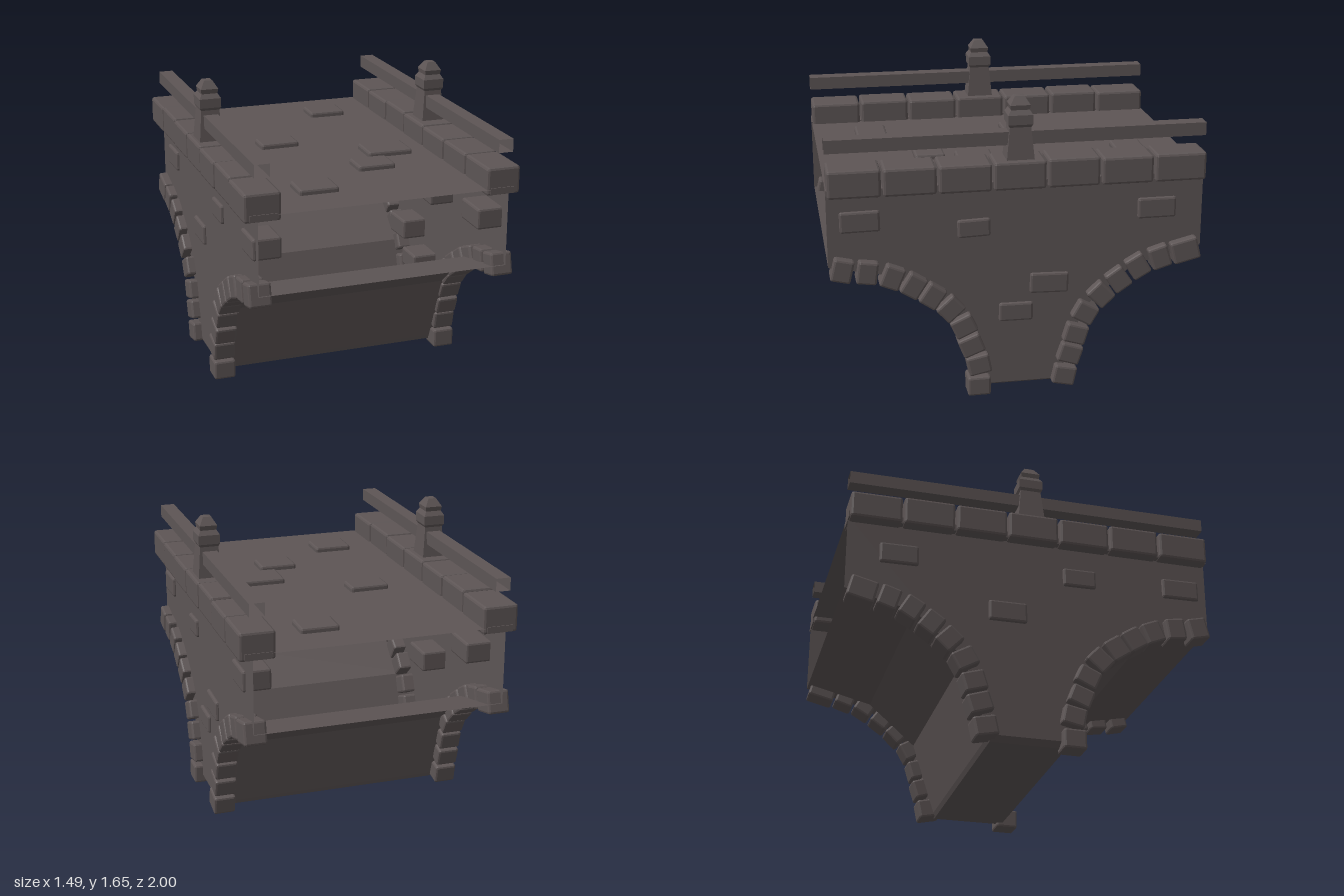
import * as THREE from 'three';
import { RoundedBoxGeometry } from 'three/addons/geometries/RoundedBoxGeometry.js';
import { toCreasedNormals } from 'three/addons/utils/BufferGeometryUtils.js';

const WALL_X = 0.675, DECK_Y = 1.225;
// arch outlines as [z, y], from the foot of the pier up to the end of the span
const ARCH_FRONT = [[0.2, 0.07], [0.36, 0.475], [0.65, 0.73], [1, 0.8]];
const ARCH_BACK = [[-0.23, 0.07], [-0.36, 0.475], [-0.63, 0.71], [-1, 0.8]];

export function createModel() {
  const model = new THREE.Group();
  model.name = 'stoneBridge';
  const stone = new THREE.MeshStandardMaterial({ color: 0x5d5555, side: THREE.DoubleSide });
  stone.name = 'greyStone';

  let seed = 7;
  const wobble = (amount) => {
    seed = (seed * 16807) % 2147483647;
    return (seed / 2147483647 - 0.5) * 2 * amount;
  };

  const add = (name, geometry, x = 0, y = 0, z = 0) => {
    const mesh = new THREE.Mesh(geometry, stone);
    mesh.name = name;
    mesh.position.set(x, y, z);
    model.add(mesh);
    return mesh;
  };

  // chamfered block with flat faces
  const block = (w, h, d, bevel = 0.012) =>
    toCreasedNormals(new RoundedBoxGeometry(w, h, d, 1, bevel), 0.1);

  // sheet running across the bridge along a [z, y] path
  const sheet = (path) => {
    const pos = [];
    for (let i = 0; i < path.length - 1; i++) {
      const [z0, y0] = path[i], [z1, y1] = path[i + 1], x = WALL_X;
      pos.push(-x, y0, z0, x, y0, z0, x, y1, z1, -x, y0, z0, x, y1, z1, -x, y1, z1);
    }
    const g = new THREE.BufferGeometry();
    g.setAttribute('position', new THREE.Float32BufferAttribute(pos, 3));
    g.computeVertexNormals();
    return g;
  };

  // deck and the undersides of the two half arches
  add('deck', sheet([[1, DECK_Y], [-1, DECK_Y]]));
  add('frontVault', sheet(ARCH_FRONT));
  add('backVault', sheet([...ARCH_BACK].reverse()));

  // pier foot with sloping edges
  const foot = new THREE.CylinderGeometry(Math.SQRT1_2, Math.SQRT1_2 * 0.94, 0.025, 4);
  foot.rotateY(Math.PI / 4).scale(WALL_X * 2, 1, 0.43);
  add('pierFoot', toCreasedNormals(foot, 0.1), 0, 0.0575, -0.015);

  // side walls cut out by the arches
  const outline = [[1, DECK_Y], ...[...ARCH_FRONT].reverse(), ...ARCH_BACK, [-1, DECK_Y]];
  const wallShape = new THREE.Shape(outline.map(([z, y]) => new THREE.Vector2(z, y)));
  for (const side of [-1, 1]) {
    const wall = new THREE.ShapeGeometry(wallShape);
    wall.rotateY(-Math.PI / 2);
    add('sideWall', wall, side * WALL_X);
  }

  // arch stones: z, y of each centre, from the span end down to the foot
  const frontRing = [[0.93, 0.79], [0.8, 0.77], [0.67, 0.735], [0.56, 0.68], [0.46, 0.615],
    [0.365, 0.535], [0.295, 0.43], [0.255, 0.315], [0.215, 0.2], [0.215, 0.075]];
  const backRing = [[-0.91, 0.785], [-0.77, 0.755], [-0.65, 0.71], [-0.545, 0.64],
    [-0.45, 0.56], [-0.365, 0.46], [-0.315, 0.34], [-0.285, 0.225], [-0.255, 0.1]];
  for (const ring of [frontRing, backRing]) {
    ring.forEach(([z, y], i) => {
      const a = ring[Math.max(i - 1, 0)], b = ring[Math.min(i + 1, ring.length - 1)];
      const tilt = -Math.atan2(b[1] - a[1], b[0] - a[0]) + wobble(0.08);
      const length = i === 0 && ring === backRing ? 0.15 : 0.108;
      for (const side of [-1, 1]) {
        add('archStone', block(0.122, 0.125, length), side * 0.663, y, z).rotation.x = tilt;
      }
    });
  }

  // parapet blocks, rail and centre post on each side
  const postProfile = [[0.098, 0], [0.075, 0.17], [0.088, 0.185], [0.088, 0.235], [0.066, 0.26],
    [0.072, 0.285], [0.034, 0.328], [0, 0.33]];
  for (const side of [-1, 1]) {
    for (let i = 0; i < 7; i++) {
      const h = 0.152 + wobble(0.006);
      add('parapetBlock', block(0.19 + wobble(0.005), h, 0.276, 0.014),
        side * 0.648, 1.19 + h / 2, 0.857 - i * 0.2857);
    }
    add('parapetCore', new THREE.BoxGeometry(0.14, 0.035, 2), side * 0.645, 1.215, 0);

    const rail = new THREE.CylinderGeometry(Math.SQRT1_2, Math.SQRT1_2, 2, 4, 1, true);
    rail.rotateY(Math.PI / 4).rotateX(Math.PI / 2).scale(0.08, 0.07, 1);
    add('rail', toCreasedNormals(rail, 0.1), side * 0.65, 1.455, 0);

    const post = new THREE.LatheGeometry(postProfile.map(([r, y]) => new THREE.Vector2(r, y)), 4);
    post.rotateY(Math.PI / 4).scale(0.95, 1, 1.05);
    add('post', toCreasedNormals(post, 0.1), side * 0.652, 1.345, -0.005);
  }

  // raised paving stones: x, z, width, depth
  const paving = [[0.255, -0.697, 0.21, 0.17], [-0.22, -0.14, 0.22, 0.14],
    [0.315, 0.17, 0.255, 0.2], [0.15, 0.405, 0.21, 0.165], [-0.275, 0.68, 0.215, 0.175]];
  for (const [x, z, w, d] of paving) {
    add('pavingStone', block(w, 0.068, d), x, 1.22, z).rotation.y = wobble(0.02);
  }

  // stones set through the side walls: z, y, length, height
  const leftStones = [[0.83, 1.045, 0.21, 0.115], [0.235, 0.975, 0.175, 0.1],
    [-0.75, 1.03, 0.21, 0.115], [-0.17, 0.64, 0.21, 0.115], [0.01, 0.485, 0.185, 0.105]];
  const rightStones = [[0.85, 1.03, 0.21, 0.115], [0.27, 1.02, 0.185, 0.105],
    [-0.13, 0.77, 0.21, 0.115], [-0.72, 1.03, 0.21, 0.115]];
  for (const [side, stones] of [[1, leftStones], [-1, rightStones]]) {
    for (const [z, y, l, h] of stones) {
      add('wallStone', block(0.155, h, l), side * 0.615, y, z).rotation.x = wobble(0.04);
    }
  }
  return model;
}
